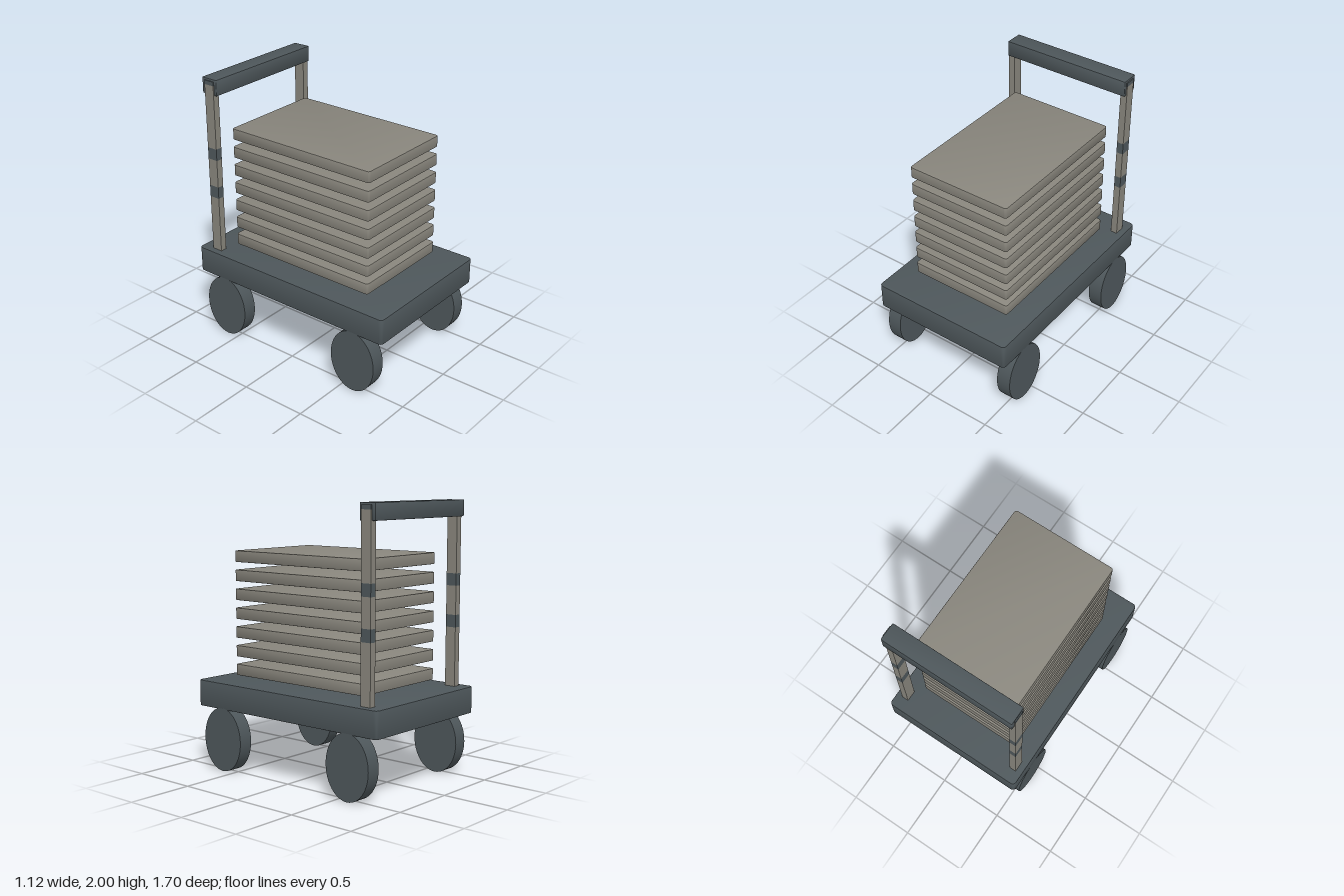
import * as THREE from 'three';
import { toCreasedNormals } from 'three/addons/utils/BufferGeometryUtils.js';

const slate = new THREE.MeshStandardMaterial({ name: 'slate grey', color: 0x4e575b });
const stone = new THREE.MeshStandardMaterial({ name: 'warm stone', color: 0x89867d });

// Horizontal slab with rounded corners and softened rims, resting on y = 0
function slabGeometry(width, height, depth, radius, bevel) {
  const x = width / 2 - bevel, y = depth / 2 - bevel, r = radius - bevel;
  const shape = new THREE.Shape();
  shape.absarc(x - r, y - r, r, 0, Math.PI / 2);
  shape.absarc(-x + r, y - r, r, Math.PI / 2, Math.PI);
  shape.absarc(-x + r, -y + r, r, Math.PI, Math.PI * 1.5);
  shape.absarc(x - r, -y + r, r, Math.PI * 1.5, Math.PI * 2);
  shape.closePath();
  const geo = new THREE.ExtrudeGeometry(shape, {
    depth: height - 2 * bevel, bevelEnabled: true, bevelSize: bevel,
    bevelThickness: bevel, bevelSegments: 2, curveSegments: 5,
  });
  geo.translate(0, 0, bevel);
  geo.rotateX(-Math.PI / 2);
  return toCreasedNormals(geo, 0.7);
}

export function createModel() {
  const model = new THREE.Group();
  model.name = 'platformTrolley';

  function add(name, geometry, material, x, y, z, parent = model) {
    const mesh = new THREE.Mesh(geometry, material);
    mesh.name = name;
    mesh.position.set(x, y, z);
    parent.add(mesh);
    return mesh;
  }

  // Deck
  add('deck', slabGeometry(1.12, 0.195, 1.7, 0.03, 0.006), slate, 0, 0.465, 0);

  // Stack of spaced trays
  const trayGeo = slabGeometry(0.81, 0.083, 1.22, 0.02, 0.004);
  for (let i = 0; i < 7; i++) add(`tray${i + 1}`, trayGeo, stone, 0, 0.702 + i * 0.14, 0);

  // Upright, tall oval wheels
  const wheelGeo = new THREE.CylinderGeometry(1, 1, 0.11, 48);
  wheelGeo.rotateZ(Math.PI / 2);
  wheelGeo.scale(1, 0.238, 0.186);

  // Post sections from bottom to top: base, height and colour
  const sections = [
    ['postLower', 0.6, 1.09, stone],
    ['bandLower', 1.09, 1.18, slate],
    ['postMiddle', 1.18, 1.39, stone],
    ['bandUpper', 1.39, 1.478, slate],
    ['postUpper', 1.478, 1.955, stone],
    ['postCap', 1.955, 1.985, slate],
  ];

  for (const side of [1, -1]) {
    const label = side > 0 ? 'left' : 'right';
    add(`${label}FrontWheel`, wheelGeo, slate, side * 0.505, 0.238, 0.6);
    add(`${label}BackWheel`, wheelGeo, slate, side * 0.505, 0.238, -0.595);

    const post = new THREE.Group();
    post.name = `${label}Post`;
    model.add(post);
    for (const [name, y0, y1, material] of sections) {
      add(name, new THREE.BoxGeometry(0.051, y1 - y0, 0.082), material,
        side * 0.4845, (y0 + y1) / 2, -0.713, post);
    }
  }

  // Push handle
  add('handleBar', slabGeometry(1.004, 0.117, 0.134, 0.008, 0.003), slate, 0, 1.883, -0.717);

  return model;
}
